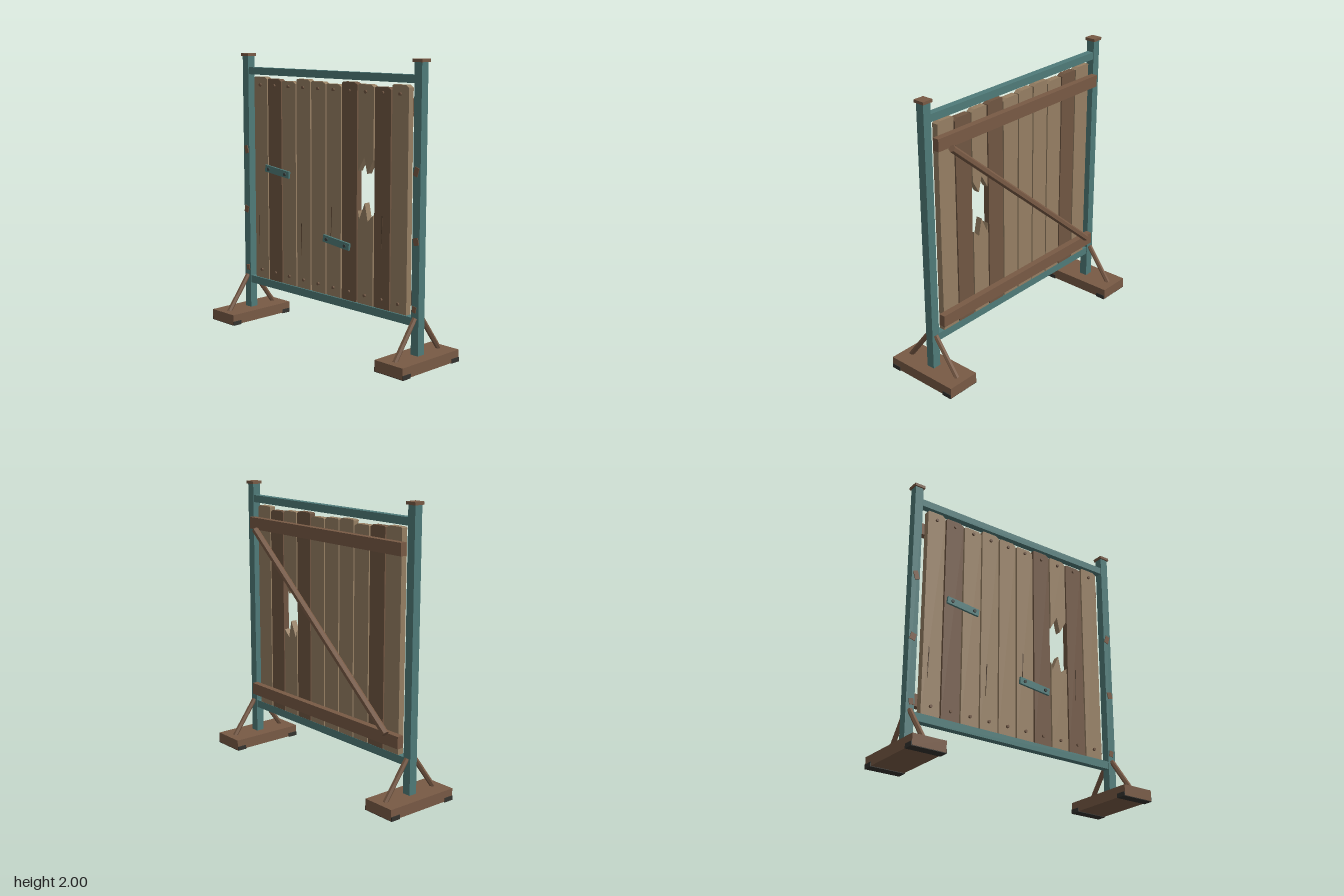
import * as THREE from 'three';

const mat = (name, color) => {
  const m = new THREE.MeshStandardMaterial({ color });
  m.name = name;
  return m;
};

export function createModel() {
  const model = new THREE.Group();
  model.name = 'woodenBarrier';
  const teal = mat('teal paint', 0x4f7b79);
  const lightWood = mat('light wood', 0x967f63);
  const darkWood = mat('dark wood', 0x705642);
  const brown = mat('brown timber', 0x785a45);
  const crackMat = mat('crack', 0x54412f);
  const rubber = mat('dark rubber', 0x34332f);
  const boltMat = mat('bolt', 0x3a4442);

  const add = (name, geo, material, x = 0, y = 0, z = 0, parent = model) => {
    const mesh = new THREE.Mesh(geo, material);
    mesh.name = name;
    mesh.position.set(x, y, z);
    parent.add(mesh);
    return mesh;
  };
  const box = (name, w, h, d, material, x, y, z, parent) =>
    add(name, new THREE.BoxGeometry(w, h, d), material, x, y, z, parent);

  // six-sided pole between two points
  const pole = (name, a, b, r, material, twist = 0) => {
    const from = new THREE.Vector3(...a), to = new THREE.Vector3(...b);
    const dir = to.clone().sub(from);
    const geo = new THREE.CylinderGeometry(r, r, dir.length(), 6).toNonIndexed();
    geo.rotateY(twist);
    geo.computeVertexNormals();
    const mesh = add(name, geo, material);
    mesh.position.copy(from).add(to).multiplyScalar(0.5);
    mesh.quaternion.setFromUnitVectors(new THREE.Vector3(0, 1, 0), dir.normalize());
    return mesh;
  };

  // round head facing +z
  const stud = (name, r, depth, material, x, y, z, parent) => {
    const geo = new THREE.CylinderGeometry(r, r, depth, 8).rotateX(Math.PI / 2);
    return add(name, geo, material, x, y, z, parent);
  };

  // flat outline extruded along z
  const slab = (name, pts, z, depth, material) => {
    const shape = new THREE.Shape(pts.map(([x, y]) => new THREE.Vector2(x, y)));
    return add(name, new THREE.ExtrudeGeometry(shape, { depth, bevelEnabled: false }), material, 0, 0, z);
  };

  // posts, caps, feet, struts and worn patches
  for (const s of [-1, 1]) {
    const x = 0.84 * s;
    box('post', 0.062, 1.91, 0.06, teal, x, 1.03, 0);
    box('postCap', 0.08, 0.02, 0.08, brown, x, 1.99, 0);
    box('foot', 0.242, 0.076, 0.56, brown, x, 0.042, 0);
    for (const e of [-1, 1]) {
      box('footPad', 0.252, 0.03, 0.072, rubber, x, 0.015, 0.242 * e);
      pole('footStrut', [x, 0.075, 0.218 * e], [x, 0.33, 0.03 * e], 0.018, brown, Math.PI / 6);
    }
    for (const [y, w, h, dx, tilt] of [
      [1.29, 0.036, 0.06, -0.003, 0.3], [0.838, 0.042, 0.05, 0.002, -0.25], [0.388, 0.033, 0.042, -0.006, 0.15],
    ]) {
      const patch = box('wornPatch', w, h, 0.006, brown, x - dx * s * -1, y, 0.032);
      patch.rotation.z = -tilt * s;
    }
  }

  // frame rails and back battens
  for (const [y, h] of [[0.3, 0.056], [1.874, 0.052]]) box('frameRail', 1.63, h, 0.05, teal, 0, y, 0);
  for (const y of [0.434, 1.702]) box('backBatten', 1.595, 0.085, 0.047, brown, 0, y, -0.051);

  // diagonal brace across the back
  pole('diagonalBrace', [-0.703, 0.477, -0.095], [0.703, 1.662, -0.095], 0.025, brown, Math.PI / 6);

  // planks, with the eighth one snapped in the middle
  const tops = [1.833, 1.823, 1.812];
  const dark = [1, 6, 8], half = 0.0705, bottom = 0.33, back = -0.027, thick = 0.045;
  for (let i = 0; i < 10; i++) {
    const x = (i - 4.5) * 0.152, top = tops[i % 3], l = x - half, r = x + half;
    const wood = dark.includes(i) ? darkWood : lightWood;
    const head = [[r, top - 0.016], [r - 0.026, top], [l + 0.008, top], [l, top - 0.006]];
    if (i === 7) {
      slab('brokenPlankTop', [[l, 1.24], [x - 0.012, 1.34], [x + 0.014, 1.23], [r, 1.325], ...head], back, thick, wood);
      slab('brokenPlankBottom', [[l, bottom], [r, bottom], [r, 0.955], [x + 0.02, 0.907],
        [x - 0.006, 1.03], [l + 0.012, 0.915], [l, 0.97]], back, thick, wood);
    } else {
      slab('plank', [[l, bottom], [r, bottom], ...head], back, thick, wood);
    }
    for (const y of [0.394, 1.775]) stud('nail', 0.011, 0.014, darkWood, x, y, 0.023);
  }

  // long splits in the wood
  for (const [x, y] of [[-0.713, 0.57], [-0.253, 0.57], [0.053, 0.73], [0.53, 0.73]]) {
    slab('crack', [[x - 0.003, y], [x + 0.003, y + 0.1], [x + 0.007, y + 0.235], [x, y + 0.235], [x - 0.002, y + 0.11]],
      0.0175, 0.003, crackMat);
  }

  // tilted repair straps with two bolts each
  for (const [x, y] of [[-0.472, 1.16], [0.134, 0.729]]) {
    const strap = new THREE.Group();
    strap.name = 'repairStrap';
    strap.position.set(x, y, 0.048);
    strap.rotation.z = -0.11;
    box('strapPlate', 0.255, 0.05, 0.016, teal, 0, 0, 0, strap);
    for (const e of [-1, 1]) stud('strapBolt', 0.012, 0.012, boltMat, 0.089 * e, 0, 0.01, strap);
    model.add(strap);
  }
  return model;
}
